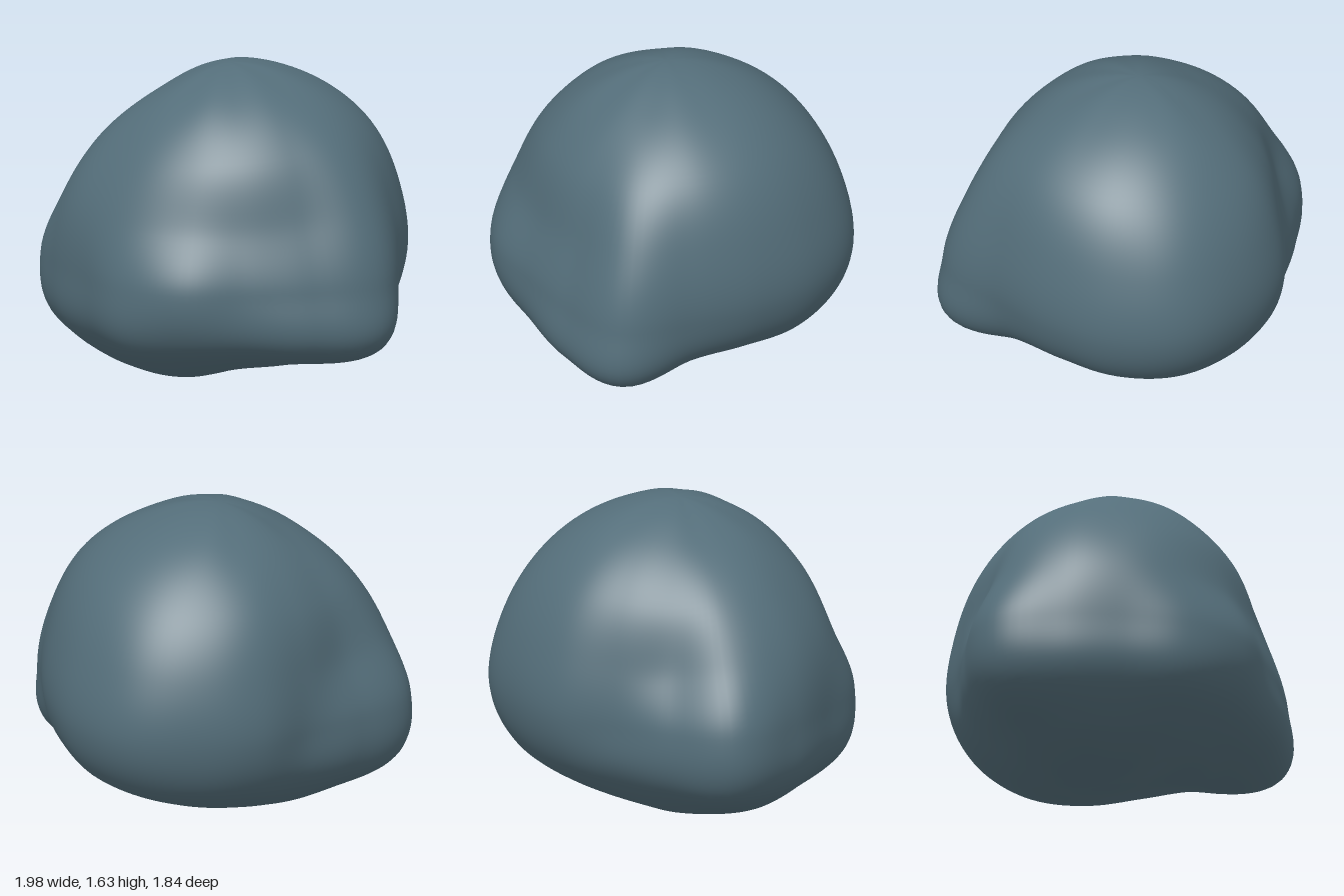
import * as THREE from 'three';
import { mergeVertices } from 'three/addons/utils/BufferGeometryUtils.js';

// Distance from the boulder's core (0, 0.6, 0) to its skin.
// One row per elevation, 16 azimuths each, turning from +x towards +z, first at 22.5 degrees.
const SECTIONS = [
  // underside
  [0.58, 0.58, 0.60, 0.63, 0.66, 0.67, 0.67, 0.66, 0.65, 0.63, 0.615, 0.60, 0.59, 0.58, 0.575, 0.575],
  [0.73, 0.73, 0.72, 0.745, 0.78, 0.78, 0.80, 0.79, 0.74, 0.70, 0.70, 0.71, 0.71, 0.685, 0.655, 0.66],
  // three lobes around the foot
  [1.06, 0.955, 0.87, 0.885, 0.91, 0.87, 0.92, 0.98, 0.84, 0.765, 0.80, 0.845, 0.885, 0.875, 0.84, 0.87],
  [1.035, 0.91, 0.855, 0.905, 0.90, 0.86, 0.91, 0.985, 0.83, 0.765, 0.85, 0.91, 0.975, 0.96, 0.92, 0.92],
  [1.0, 0.87, 0.82, 0.835, 0.86, 0.88, 0.91, 0.90, 0.78, 0.79, 0.88, 0.94, 0.99, 0.98, 0.96, 0.955],
  // dome
  [1.01, 0.95, 0.915, 0.905, 0.905, 0.905, 0.92, 0.91, 0.87, 0.89, 0.945, 0.98, 1.01, 1.02, 1.02, 1.02],
  [1.02, 1.01, 0.99, 0.985, 0.97, 0.965, 0.955, 0.95, 0.96, 0.975, 0.995, 1.02, 1.03, 1.035, 1.035, 1.035],
];
const ELEVATIONS = [-120, -90, -60, -38, -18, 0, 22, 45, 68, 90, 112];
const BOTTOM = 0.565, TOP = 1.035, AZIMUTHS = 16, FIRST = 22.5;

// Smooth curve through b and c
const cubic = (a, b, c, d, t) =>
  b + 0.5 * t * (c - a + t * (2 * a - 5 * b + 4 * c - d + t * (3 * (b - c) + d - a)));

// Control radius; beyond a pole the grid continues down the opposite side
function control(i, j) {
  if (i === 0) return BOTTOM;
  if (i === 8) return TOP;
  if (i < 0) return control(1, j + AZIMUTHS / 2);
  if (i > 8) return control(7, j + AZIMUTHS / 2);
  return SECTIONS[i - 1][(j + AZIMUTHS) % AZIMUTHS];
}

function skinPoint(u, v) {
  const i = Math.min(Math.floor(v), 7), j = Math.floor(u);
  const along = (row) => cubic(
    control(row, j - 1), control(row, j), control(row, j + 1), control(row, j + 2), u - j);
  const r = cubic(along(i - 1), along(i), along(i + 1), along(i + 2), v - i);
  const elevation = THREE.MathUtils.degToRad(cubic(...ELEVATIONS.slice(i, i + 4), v - i));
  const azimuth = THREE.MathUtils.degToRad(FIRST + u * 360 / AZIMUTHS);
  const h = r * Math.cos(elevation);
  return [h * Math.cos(azimuth), 0.6 + r * Math.sin(elevation), h * Math.sin(azimuth)];
}

function boulderGeometry(columns = 128, rows = 80) {
  const positions = [], index = [];
  for (let r = 0; r <= rows; r++) {
    for (let c = 0; c < columns; c++) {
      positions.push(...skinPoint(c * AZIMUTHS / columns, r * 8 / rows));
      if (r === rows) continue;
      const next = (c + 1) % columns;
      const a = r * columns + c, b = r * columns + next;
      index.push(a, a + columns, b, b, a + columns, b + columns);
    }
  }
  let geometry = new THREE.BufferGeometry();
  geometry.setAttribute('position', new THREE.Float32BufferAttribute(positions, 3));
  geometry.setIndex(index);
  geometry = mergeVertices(geometry, 1e-5);

  // Rest on the ground, centred
  geometry.computeBoundingBox();
  const box = geometry.boundingBox;
  const mid = box.getCenter(new THREE.Vector3());
  geometry.translate(-mid.x, -box.min.y, -mid.z);
  geometry.computeVertexNormals();
  return geometry;
}

export function createModel() {
  const group = new THREE.Group();
  group.name = 'rock';
  const boulder = new THREE.Mesh(
    boulderGeometry(), new THREE.MeshStandardMaterial({ color: 0x546e7a }));
  boulder.name = 'boulder';
  group.add(boulder);
  return group;
}
